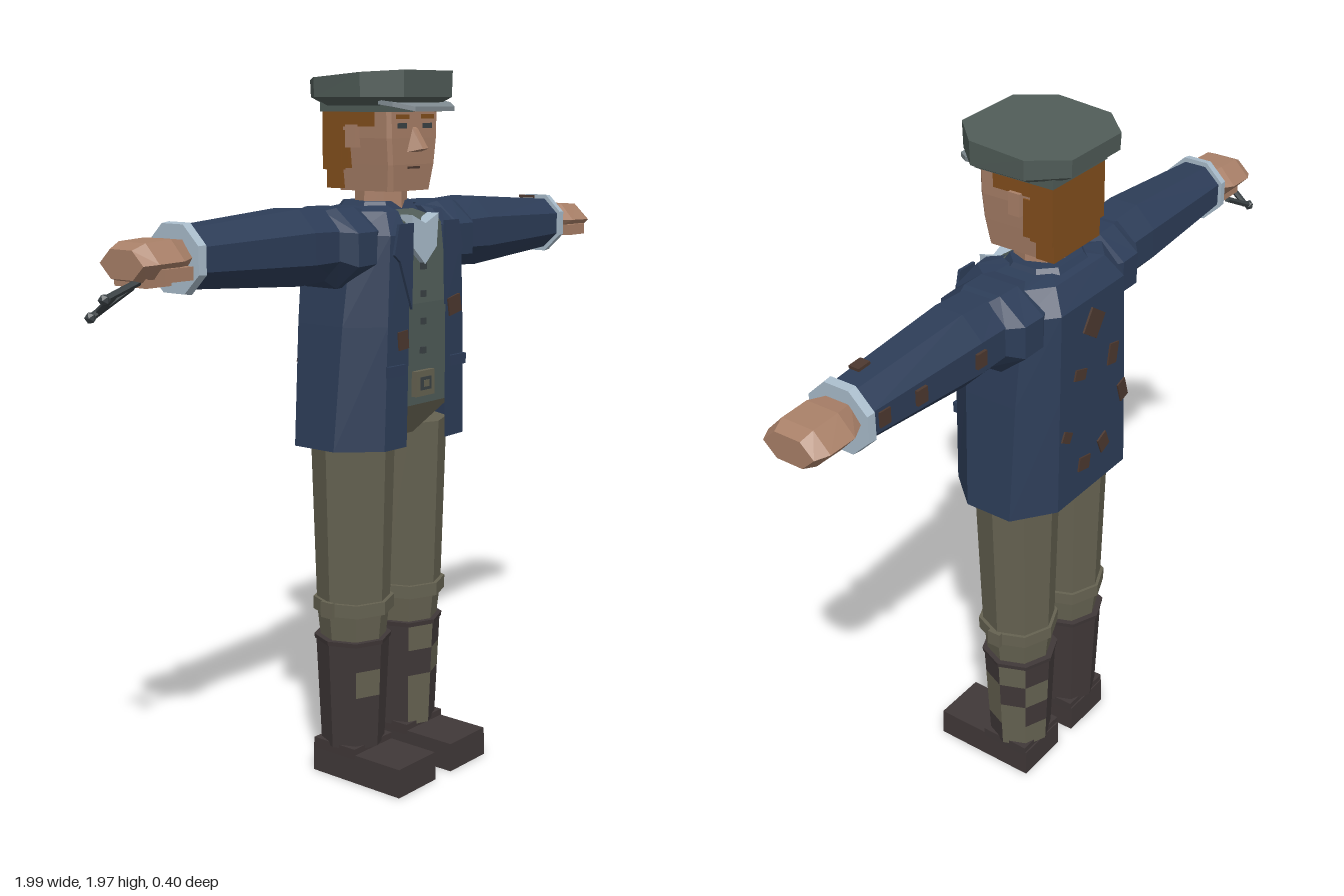
import * as THREE from 'three';

const mat = (name, color, side = THREE.FrontSide) => {
  const m = new THREE.MeshStandardMaterial({ color, side });
  m.name = name;
  return m;
};
const M = {
  coat: mat('coat navy', 0x2d3d58, THREE.DoubleSide),
  trousers: mat('trouser olive', 0x656251),
  boots: mat('boot brown', 0x403838),
  wool: mat('wool green grey', 0x505c58),
  skin: mat('skin', 0xa98068),
  hair: mat('hair auburn', 0x824e1c),
  linen: mat('linen', 0xa9bccb),
  brim: mat('brim grey', 0x7f8a90),
  stain: mat('stain brown', 0x4c382f),
  iron: mat('dark iron', 0x3a4144),
};

const flat = (g) => {
  const f = g.index ? g.toNonIndexed() : g;
  f.computeVertexNormals();
  return f;
};

// Skin a list of cross-sections; closed lofts get end caps and face outwards
function loft(rings, closed = true) {
  const tris = [], n = rings[0].length;
  for (let r = 0; r < rings.length - 1; r++) {
    for (let i = 0; i < (closed ? n : n - 1); i++) {
      const j = (i + 1) % n, A = rings[r], B = rings[r + 1];
      tris.push([A[i], A[j], B[j]], [A[i], B[j], B[i]]);
    }
  }
  if (closed) {
    const a = rings[0], b = rings[rings.length - 1];
    for (let i = 1; i < n - 1; i++) tris.push([a[0], a[i + 1], a[i]], [b[0], b[i], b[i + 1]]);
  }
  const V = (p) => new THREE.Vector3(...p);
  const volume = tris.reduce((s, [a, b, c]) => s + V(a).dot(V(b).cross(V(c))), 0);
  if (closed && volume < 0) tris.forEach((t) => t.reverse());
  const g = new THREE.BufferGeometry();
  g.setAttribute('position', new THREE.Float32BufferAttribute(tris.flat(2), 3));
  return flat(g);
}

// Horizontal chamfered rectangle at height y: half width w, depth from z0 to z1, corner cuts cx and cz
const slab = (y, w, z0, z1, cx = 0.04, cz = 0.04) => [
  [w - cx, y, z1], [w, y, z1 - cz], [w, y, z0 + cz], [w - cx, y, z0],
  [cx - w, y, z0], [-w, y, z0 + cz], [-w, y, z1 - cz], [cx - w, y, z1]];
// Upright elliptical section across an arm
const armRing = (x, ry, rz, y = 1.518, n = 8) => Array.from({ length: n }, (_, i) => {
  const a = (i + (n === 8 ? 0.5 : 0)) / n * Math.PI * 2, k = n === 8 ? 1.07 : 1.0;
  return [x, y + Math.sin(a) * ry * k, -0.03 + Math.cos(a) * rz * k];
});

export function createModel() {
  const root = new THREE.Group();
  root.name = 'figure';
  const body = new THREE.Group();
  body.name = 'body';
  body.position.x = 0.05;
  root.add(body);

  const add = (name, geo, material) => {
    const m = new THREE.Mesh(geo, material);
    m.name = name;
    body.add(m);
    return m;
  };
  const box = (name, material, w, h, d, x, y, z) => {
    const m = add(name, new THREE.BoxGeometry(w, h, d), material);
    m.position.set(x, y, z);
    return m;
  };
  const tube = (name, material, rt, rb, y0, y1, x, z, rows = 1) => {
    const m = add(name, flat(new THREE.CylinderGeometry(rt, rb, y1 - y0, 8, rows)), material);
    m.position.set(x, (y0 + y1) / 2, z);
    return m;
  };

  // Legs: trousers, knee strap, patched gaiter and shoe
  const patches = { 1: ['7,0', '7,2', '7,3', '0,1', '1,1', '1,2', '2,0', '2,2', '2,3', '3,1', '3,3'], '-1': ['7,1'] };
  for (const s of [-1, 1]) {
    const x = s * 0.118;
    tube('trouserLeg', M.trousers, 0.117, 0.103, 0.5, 1.0, x, -0.033);
    tube('trouserCuff', M.trousers, 0.103, 0.09, 0.38, 0.5, x, -0.034);
    tube('kneeStrap', M.trousers, 0.114, 0.114, 0.485, 0.522, x, -0.032);
    box('strapBuckle', M.trousers, 0.012, 0.045, 0.04, x + s * 0.113, 0.504, -0.032);
    const gaiter = tube('gaiter', [M.boots, M.trousers], 0.104, 0.09, 0.09, 0.4, x, -0.036, 4);
    gaiter.geometry.clearGroups();
    for (let k = 0; k < 8; k++) {
      for (let r = 0; r < 4; r++) {
        gaiter.geometry.addGroup((k * 4 + r) * 6, 6, patches[s].includes(`${k},${r}`) ? 1 : 0);
      }
    }
    gaiter.geometry.addGroup(192, 48, 0);
    tube('gaiterRim', M.boots, 0.11, 0.108, 0.397, 0.41, x, -0.036);
    add('shoe', loft([[0, 0.083, 0.2], [0.082, 0.081, 0.198]].map(([y, w, z]) =>
      [[x - w, y, z], [x + w, y, z], [x + w, y, -0.115], [x - w, y, -0.115]])), M.boots);
    box('shoeHeel', M.boots, 0.166, 0.03, 0.15, x, 0.085, -0.036);
  }
  add('hips', loft([slab(0.98, 0.05, -0.12, 0.06, 0.02), slab(1.07, 0.19, -0.15, 0.105), slab(1.12, 0.19, -0.15, 0.105)]), M.trousers);

  // Waistcoat with buttons, buckle and neckcloth
  add('waistcoat', loft([slab(1.07, 0.15, -0.13, 0.11), slab(1.35, 0.15, -0.13, 0.118),
    slab(1.57, 0.14, -0.12, 0.1), slab(1.6, 0.08, -0.09, 0.05)]), M.wool);
  for (const y of [1.22, 1.3, 1.375, 1.45]) box('button', M.iron, 0.018, 0.018, 0.01, 0, y, 0.118);
  box('buckle', M.trousers, 0.082, 0.07, 0.02, 0, 1.13, 0.118);
  box('bucklePlate', M.iron, 0.045, 0.036, 0.008, 0, 1.13, 0.127);
  box('buckleTongue', M.trousers, 0.022, 0.018, 0.008, 0, 1.13, 0.13);
  const cravat = new THREE.Shape([[-0.058, 1.59], [-0.05, 1.5], [0, 1.455], [0.05, 1.5], [0.058, 1.59], [0, 1.565]]
    .map(([x, y]) => new THREE.Vector2(x, y)));
  const cloth = add('neckcloth', flat(new THREE.ExtrudeGeometry(cravat, { depth: 0.04, bevelEnabled: false })), M.linen);
  cloth.position.z = 0.085;

  // Open coat: half width, front, back and height of each section
  const coatRing = ([y, w, zf, zb, e, c]) => {
    const half = [[e, y, zf], [c, y, zf - 0.004], [w, y, zf - 0.1 * w / 0.25], [w, y, zb + 0.075 * w / 0.25], [c * 0.9, y, zb]];
    return [...half, ...half.map(([x, , z]) => [-x, y, z]).reverse()];
  };
  add('coat', loft([[0.965, 0.266, 0.13, -0.195, 0.085, 0.175], [1.3, 0.242, 0.133, -0.193, 0.08, 0.165],
    [1.54, 0.215, 0.133, -0.19, 0.085, 0.155], [1.6, 0.17, 0.09, -0.15, 0.075, 0.12],
    [1.612, 0.09, 0.04, -0.11, 0.06, 0.075]].map(coatRing), false), M.coat);
  add('coatCollar', loft([slab(1.575, 0.125, -0.15, 0.06, 0.05, 0.05), slab(1.622, 0.095, -0.12, 0.03, 0.04, 0.04)]), M.coat);
  for (const s of [-1, 1]) {
    const lapel = new THREE.Shape([[0.075, 1.34], [0.07, 1.57], [0.13, 1.57], [0.15, 1.49], [0.125, 1.47]]
      .map(([x, y]) => new THREE.Vector2(s * x, y)));
    add('lapel', flat(new THREE.ExtrudeGeometry(lapel, { depth: 0.008, bevelEnabled: false })), M.coat).position.z = 0.132;
    box('pocketFlap', M.coat, 0.07, 0.03, 0.014, s * 0.135, 1.18, 0.132);
  }

  // Worn stains: x, y, z, width, height, tilt
  for (const [x, y, z, w, h, t] of [[0.12, 1.335, 0.133, 0.055, 0.05, 0.2], [-0.105, 1.26, 0.132, 0.04, 0.05, 0.1],
    [0, 1.465, -0.192, 0.07, 0.07, 0.6], [-0.09, 1.335, -0.193, 0.04, 0.06, 0.2], [0.06, 1.34, -0.193, 0.05, 0.03, 0.3],
    [-0.14, 1.2, -0.194, 0.035, 0.06, -0.3], [0.12, 1.18, -0.194, 0.04, 0.03, 0.5], [0.04, 1.06, -0.195, 0.05, 0.04, 0.2],
    [-0.05, 1.08, -0.195, 0.04, 0.05, -0.4]]) {
    box('stain', M.stain, w, h, 0.008, x, y, z).rotation.z = t;
  }
  for (const [x, z] of [[0.39, -0.133], [0.6, -0.122], [0.72, -0.112]]) {
    box('sleeveStain', M.stain, 0.035, 0.04, 0.008, x, 1.52, z).rotation.y = -0.05;
  }
  box('sleeveStain', M.stain, 0.04, 0.008, 0.03, 0.68, 1.602, -0.01).rotation.z = -0.06;

  // Arms held straight out
  for (const s of [-1, 1]) {
    add('shoulder', loft([armRing(s * 0.12, 0.085, 0.11), armRing(s * 0.18, 0.104, 0.135, 1.51),
      armRing(s * 0.25, 0.107, 0.132, 1.508), armRing(s * 0.29, 0.09, 0.1)]), M.coat);
    add('sleeve', loft([armRing(s * 0.24, 0.092, 0.1), armRing(s * 0.38, 0.1, 0.1),
      armRing(s * 0.76, 0.074, 0.08)]), M.coat);
    add('cuff', loft([armRing(s * 0.758, 0.087, 0.09), armRing(s * 0.782, 0.084, 0.088)]), M.linen);
    const drop = s < 0 ? 0.004 : 0;
    add('hand', loft([armRing(s * 0.77, 0.045, 0.06, 1.525, 6), armRing(s * 0.83, 0.056, 0.092, 1.525 - drop, 6),
      armRing(s * 0.91, 0.054, 0.092, 1.523 - drop, 6), armRing(s * 0.945, 0.04, 0.075, 1.52 - drop, 6)]), M.skin);
    box('thumb', M.skin, 0.09, 0.032, 0.035, s * 0.85, 1.495 - drop, 0.045);
    if (s < 0) box('curledFingers', M.skin, 0.08, 0.04, 0.11, -0.88, 1.482, -0.03);
  }

  // Forked iron tool in the right hand
  const rod = (a, b, r = 0.009) => {
    const A = new THREE.Vector3(...a), d = new THREE.Vector3(...b).sub(A);
    const m = add('toolRod', flat(new THREE.CylinderGeometry(r, r, d.length(), 6)), M.iron);
    m.position.copy(A).addScaledVector(d, 0.5);
    m.quaternion.setFromUnitVectors(new THREE.Vector3(0, 1, 0), d.normalize());
  };
  const p1 = [-1.03, 1.445, 0.005], p2 = [-0.993, 1.393, -0.088];
  rod(p1, [-0.87, 1.492, 0]);
  rod(p2, [-0.87, 1.455, -0.08]);
  rod([-1.0, 1.454, 0.005], [-0.97, 1.403, -0.088]);
  for (const [x, y, z] of [p1, p2]) {
    add('toolKnob', flat(new THREE.IcosahedronGeometry(0.015, 0)), M.iron).position.set(x, y, z);
  }

  // Head, face and hair
  tube('neck', M.skin, 0.07, 0.075, 1.56, 1.67, 0, -0.03);
  add('head', loft([slab(1.65, 0.088, -0.11, 0.075, 0.012, 0.012), slab(1.72, 0.097, -0.125, 0.083, 0.01, 0.01),
    slab(1.79, 0.105, -0.13, 0.085, 0.01, 0.01), slab(1.9, 0.108, -0.13, 0.085, 0.01, 0.01)]), M.skin);
  add('nose', loft([[[-0.032, 1.752, 0.08], [0.032, 1.752, 0.08], [0.012, 1.762, 0.124], [-0.012, 1.762, 0.124]],
    [[-0.008, 1.82, 0.08], [0.008, 1.82, 0.08], [0.006, 1.815, 0.092], [-0.006, 1.815, 0.092]]]), M.skin);
  box('mouth', M.stain, 0.05, 0.006, 0.006, 0, 1.712, 0.082);
  box('backHair', M.hair, 0.226, 0.19, 0.066, 0, 1.8, -0.109);
  box('napeHair', M.hair, 0.2, 0.06, 0.055, 0, 1.685, -0.111);
  for (const s of [-1, 1]) {
    box('eye', M.iron, 0.036, 0.014, 0.006, s * 0.054, 1.822, 0.086);
    box('eyebrow', M.hair, 0.05, 0.012, 0.01, s * 0.054, 1.846, 0.086);
    box('sideHair', M.hair, 0.012, 0.07, 0.11, s * 0.108, 1.855, -0.02);
    box('sideburn', M.hair, 0.016, 0.1, 0.025, s * 0.102, 1.76, -0.065);
    box('ear', M.skin, 0.024, 0.06, 0.035, s * 0.112, 1.795, -0.035);
  }

  // Flat cap with a sloping peak
  const capRing = (y, k, tilt) => slab(y, 0.185 * k, -0.03 - 0.163 * k, -0.03 + 0.163 * k, 0.08 * k, 0.083 * k)
    .map(([x, , z]) => [x, y + tilt * (z - 0.13), z]);
  add('cap', loft([capRing(1.875, 0.78, 0), capRing(1.897, 0.99, 0), capRing(1.966, 1, 0.075)]), M.wool);
  box('capBand', M.wool, 0.234, 0.035, 0.235, 0, 1.876, -0.029);
  add('capPeak', loft([0, 0.012].map((h) => [[-0.135, 1.878 + h, 0.07], [-0.125, 1.872 + h, 0.11],
    [-0.085, 1.86 + h, 0.155], [0.085, 1.86 + h, 0.155], [0.125, 1.872 + h, 0.11], [0.135, 1.878 + h, 0.07]])), M.brim);

  return root;
}
